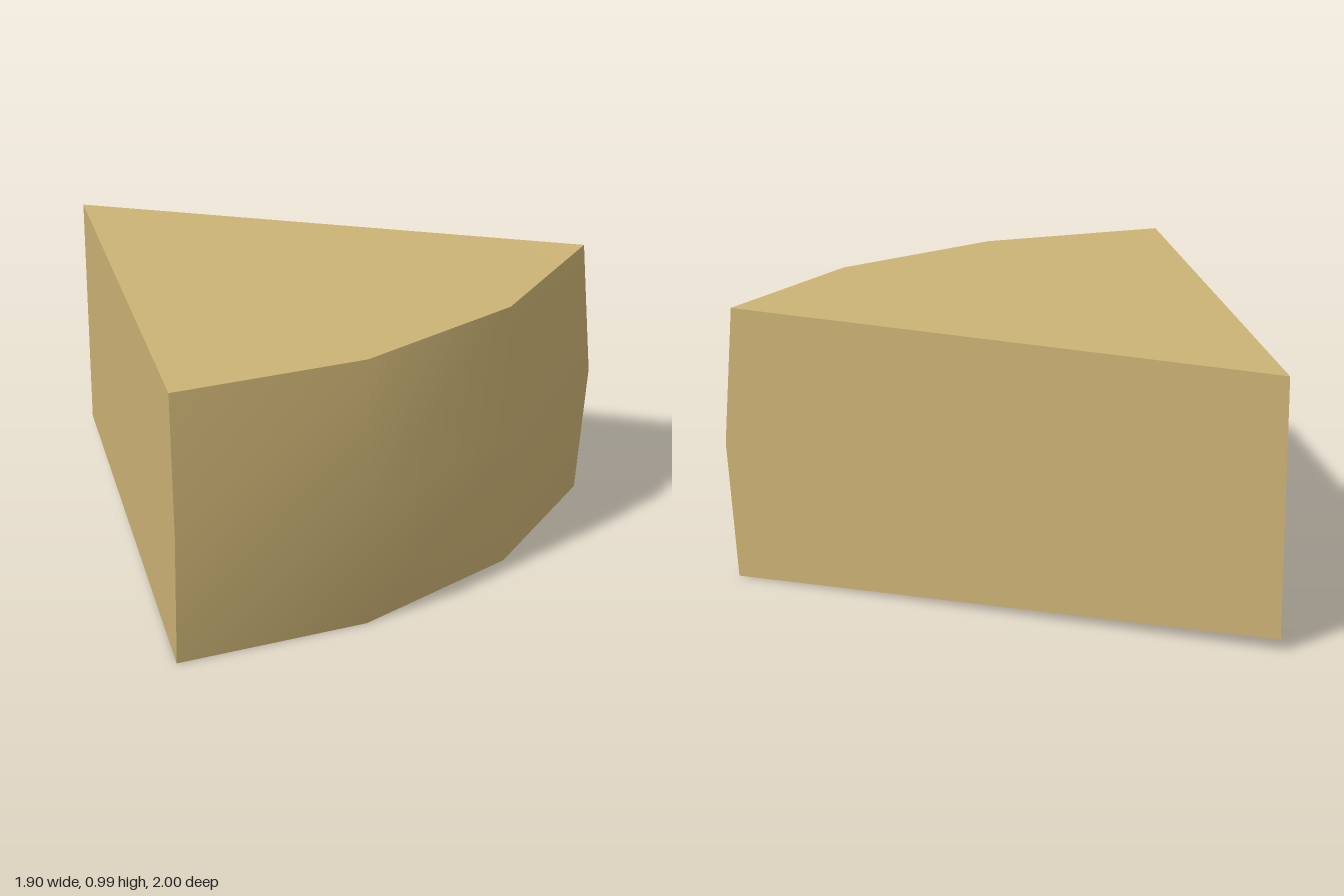
import * as THREE from 'three';

const H = 0.988;

// Rim stations, left to right: [x, z] at the cap edges and at the bulging middle
const capEdge = [[-0.61, 0.96], [0.045, 0.72], [0.57, 0.28], [0.915, -0.32]];
const middle = [[-0.603, 1.0], [0.06, 0.757], [0.6, 0.302], [0.95, -0.305]];
const ring = (points, y) => points.map(([x, z]) => [x, y, z]);
const bottom = ring(capEdge, 0);
const mid = ring(middle, H / 2);
const top = ring(capEdge, H);
const apexBottom = [-0.953, 0.042, -1];
const apexTop = [-0.953, H - 0.042, -1];

function makeMesh(name, points, index, material) {
  const geometry = new THREE.BufferGeometry();
  geometry.setAttribute('position', new THREE.Float32BufferAttribute(points.flat(), 3));
  geometry.setIndex(index);
  geometry.computeVertexNormals();
  const mesh = new THREE.Mesh(geometry, material);
  mesh.name = name;
  return mesh;
}

// Flat polygon as a triangle fan around its first corner
function fan(name, points, material) {
  const index = [];
  for (let i = 1; i < points.length - 1; i++) index.push(0, i, i + 1);
  return makeMesh(name, points, index, material);
}

export function createModel() {
  const group = new THREE.Group();
  group.name = 'wedge';
  const tan = new THREE.MeshStandardMaterial({ color: 0xccb375 });
  tan.name = 'tan';

  // Top and bottom caps, rising slightly from the tip to the rim
  group.add(fan('topFace', [apexTop, ...top], tan));
  group.add(fan('bottomFace', [apexBottom, ...[...bottom].reverse()], tan));

  // Straight cut faces meeting at the tip
  const cut = (i) => [apexBottom, bottom[i], mid[i], top[i], apexTop];
  group.add(fan('rightCutFace', cut(0), tan));
  group.add(fan('backCutFace', cut(3).reverse(), tan));

  // Smooth bulging outer rim
  const index = [];
  for (let row = 0; row < 2; row++) {
    for (let i = 0; i < 3; i++) {
      const a = row * 4 + i;
      index.push(a, a + 1, a + 5, a, a + 5, a + 4);
    }
  }
  group.add(makeMesh('outerRim', [...bottom, ...mid, ...top], index, tan));
  return group;
}
